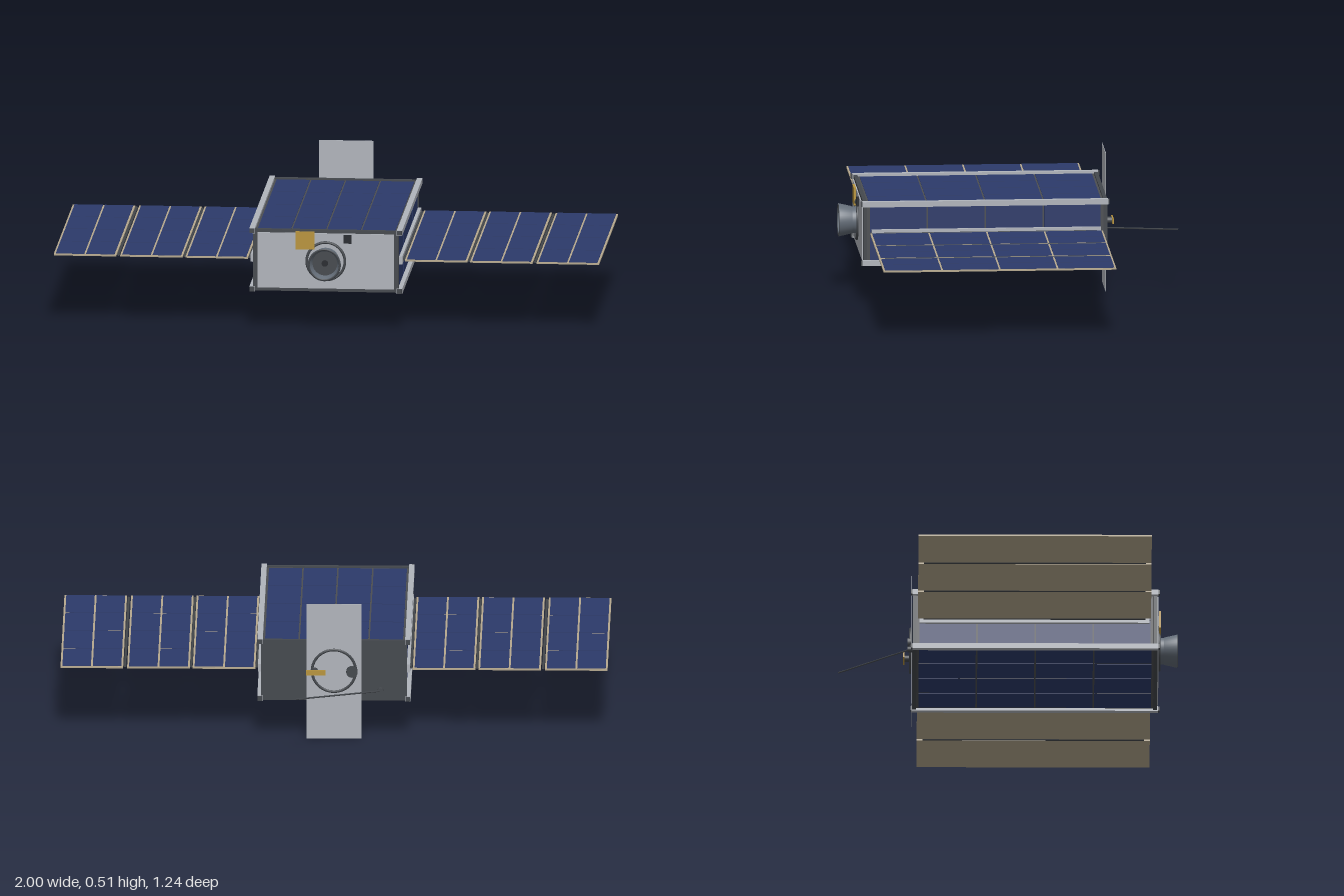
import * as THREE from 'three';

const mat = (name, color, side = THREE.FrontSide) => {
  const m = new THREE.MeshStandardMaterial({ color, side });
  m.name = name;
  return m;
};

export function createModel() {
  const silver = mat('silver', 0xb0b4bb);
  const dark = mat('dark grey', 0x44484d);
  const grid = mat('cell gap grey', 0x4c4e52);
  const blue = mat('cell blue', 0x2c3a6a);
  const tan = mat('panel tan', 0xb5a88e);
  const gold = mat('gold', 0xb8943c);
  const steel = mat('steel', 0x636c77, THREE.DoubleSide);
  const black = mat('lens black', 0x25282d);

  const root = new THREE.Group();
  const CY = 0.26, CZ = 0.098; // body centre height and depth

  function add(parent, name, geo, material, x, y, z) {
    const m = new THREE.Mesh(geo, material);
    m.name = name;
    m.position.set(x, y, z);
    parent.add(m);
    return m;
  }
  const box = (parent, name, material, w, h, d, x, y, z) =>
    add(parent, name, new THREE.BoxGeometry(w, h, d), material, x, y, z);
  // cylinder lying along z
  const disc = (parent, name, material, r, len, x, y, z, sides = 32) => {
    const m = add(parent, name, new THREE.CylinderGeometry(r, r, len, sides), material, x, y, z);
    m.rotation.x = Math.PI / 2;
    return m;
  };
  // grid of thin cells lying in the xz plane
  function cells(parent, w, d, cols, rows, gap) {
    const cw = w / cols, cd = d / rows;
    for (let i = 0; i < cols; i++)
      for (let j = 0; j < rows; j++)
        box(parent, 'solarCell', blue, cw - gap, 0.004, cd - gap,
          (i + 0.5) * cw - w / 2, 0, (j + 0.5) * cd - d / 2);
  }

  // Body core and dark end frames
  const body = new THREE.Group();
  body.name = 'body';
  root.add(body);
  box(body, 'core', grid, 0.522, 0.218, 0.88, 0, CY, CZ);
  box(body, 'frontFrame', dark, 0.534, 0.23, 0.014, 0, CY, 0.538);
  box(body, 'rearPlate', dark, 0.534, 0.23, 0.014, 0, CY, -0.342);
  box(body, 'frontPlate', silver, 0.5, 0.206, 0.006, 0, CY, 0.546);

  // Cells on the top, bottom and both sides
  for (const s of [1, -1]) {
    const face = new THREE.Group();
    face.name = s > 0 ? 'topCells' : 'bottomCells';
    face.position.set(0, CY + s * 0.109, CZ);
    cells(face, 0.51, 0.856, 4, 4, 0.006);
    body.add(face);

    const side = new THREE.Group();
    side.name = s > 0 ? 'leftCells' : 'rightCells';
    side.position.set(s * 0.262, CY, CZ);
    side.rotation.z = -s * Math.PI / 2;
    cells(side, 0.204, 0.85, 2, 4, 0.006);
    body.add(side);
  }

  // Corner rails with dark feet
  for (const sx of [1, -1])
    for (const sy of [1, -1]) {
      const x = sx * 0.27, y = CY + sy * 0.109;
      box(body, 'rail', silver, 0.02, 0.02, 0.9, x, y, 0.099);
      for (const z of [0.551, -0.353]) box(body, 'railFoot', dark, 0.017, 0.017, 0.006, x, y, z);
    }

  // Folding wings: three hinged panels on each side
  for (const s of [1, -1]) {
    const wing = new THREE.Group();
    wing.name = s > 0 ? 'leftWing' : 'rightWing';
    root.add(wing);
    box(wing, 'rootHinge', silver, 0.012, 0.03, 0.84, s * 0.272, CY, CZ - 0.003);
    for (const x of [0.402, 0.6415, 0.885]) {
      const panel = new THREE.Group();
      panel.name = 'wingPanel';
      panel.position.set(s * x, CY, CZ - 0.003);
      wing.add(panel);
      box(panel, 'panelBoard', tan, 0.229, 0.006, 0.852, 0, 0, 0);
      const top = new THREE.Group();
      top.name = 'panelCells';
      top.position.y = 0.003;
      cells(top, 0.222, 0.846, 2, 4, 0.007);
      panel.add(top);
    }
    for (const x of [0.282, 0.522, 0.764]) {
      const rod = add(wing, 'hingeRod', new THREE.CylinderGeometry(0.005, 0.005, 0.81, 10), dark, s * x, CY, CZ - 0.003);
      rod.rotation.x = Math.PI / 2;
    }
  }

  // Telescope on the front
  const scope = new THREE.Group();
  scope.name = 'telescope';
  scope.position.set(0, CY, 0);
  root.add(scope);
  add(scope, 'mountRing', new THREE.TorusGeometry(0.07, 0.005, 10, 40), dark, 0, 0, 0.552);
  const profile = [[0.05, 0.548], [0.048, 0.568], [0.05, 0.57], [0.061, 0.618], [0.052, 0.618], [0.044, 0.585]]
    .map(([r, z]) => new THREE.Vector2(r, z));
  add(scope, 'lensHood', new THREE.LatheGeometry(profile, 40), steel, 0, 0, 0).rotation.x = Math.PI / 2;
  add(scope, 'hoodRim', new THREE.TorusGeometry(0.0565, 0.004, 8, 40), dark, 0, 0, 0.616);
  disc(scope, 'lens', dark, 0.047, 0.03, 0, 0, 0.575, 40);
  disc(scope, 'lensCore', black, 0.012, 0.004, 0, 0, 0.59, 24);

  // Small front instruments
  box(root, 'goldPatch', gold, 0.07, 0.066, 0.008, -0.076, 0.337, 0.555);
  box(root, 'patchMount', dark, 0.04, 0.04, 0.01, -0.076, 0.337, 0.549);
  box(root, 'sensor', black, 0.03, 0.03, 0.012, 0.08, 0.343, 0.552);

  // Rear reflector sheet with its ring, knob and feed
  const rear = new THREE.Group();
  rear.name = 'rearReflector';
  root.add(rear);
  box(rear, 'reflectorSheet', silver, 0.2, 0.515, 0.002, 0, 0.2575, -0.354);
  add(rear, 'reflectorRing', new THREE.TorusGeometry(0.08, 0.005, 8, 40), dark, 0, CY, -0.357);
  disc(rear, 'knob', dark, 0.021, 0.014, -0.066, CY - 0.002, -0.361, 20);
  disc(rear, 'feedPost', dark, 0.012, 0.024, 0.07, CY, -0.366, 16);
  box(rear, 'feedBar', gold, 0.07, 0.02, 0.005, 0.066, CY, -0.381);

  // Whip antenna
  const a = new THREE.Vector3(-0.17, 0.185, -0.362);
  const b = new THREE.Vector3(0.135, 0.234, -0.618);
  disc(root, 'antennaBase', dark, 0.011, 0.022, a.x, a.y, -0.357, 16);
  add(root, 'antenna', new THREE.TubeGeometry(new THREE.LineCurve3(a, b), 1, 0.003, 8), dark, 0, 0, 0);

  return root;
}
